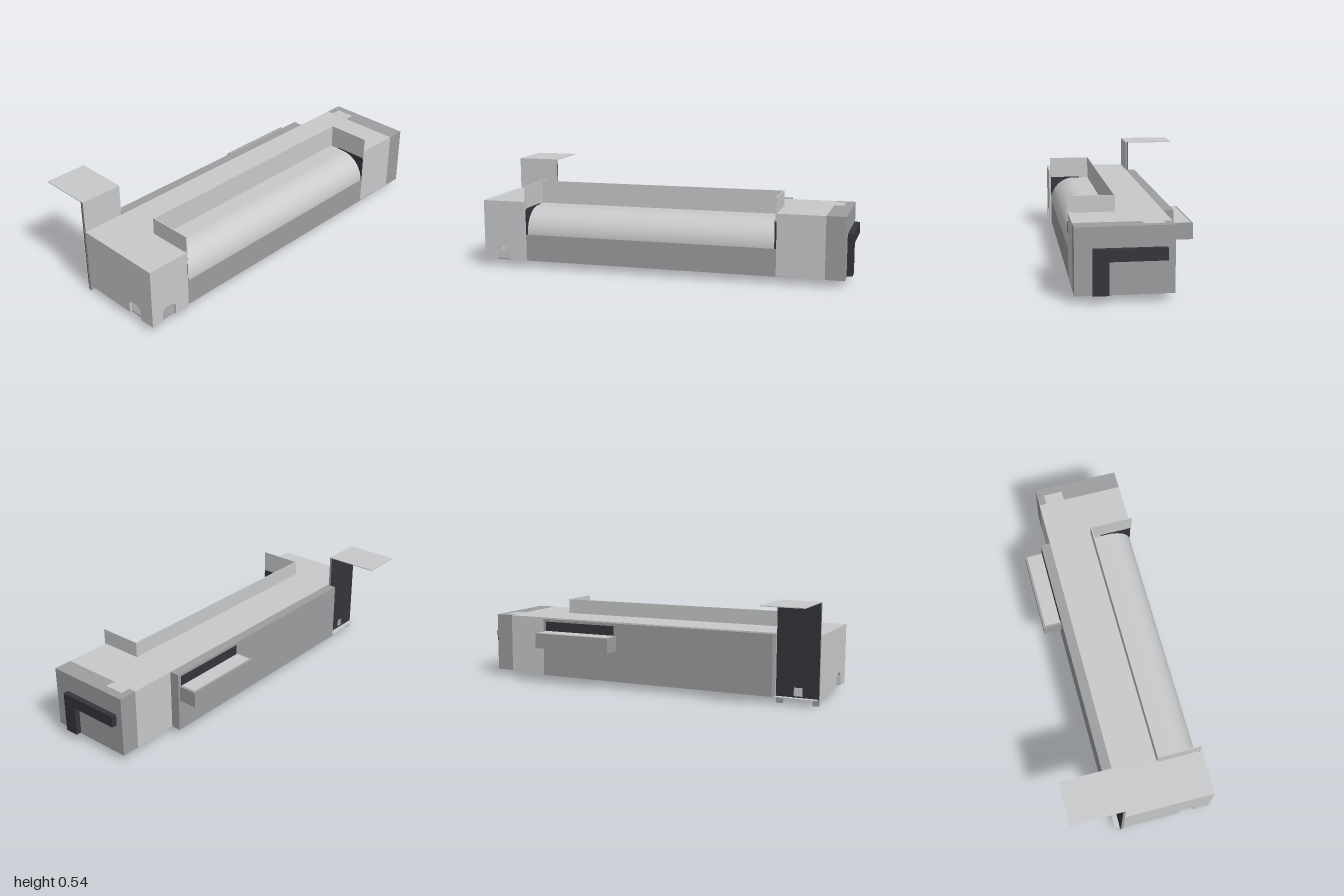
import * as THREE from 'three';

const mat = (name, color, extra = {}) => new THREE.MeshStandardMaterial({ name, color, ...extra });

export function createModel() {
  const light = mat('light grey', 0xc8c9ca);
  const mid = mat('mid grey', 0x9d9e9f);
  const dark = mat('charcoal', 0x34343b);
  const model = new THREE.Group();
  model.name = 'wallHousing';

  const add = (name, geo, material) => {
    const mesh = new THREE.Mesh(geo, material);
    mesh.name = name;
    model.add(mesh);
    return mesh;
  };
  // Box given by its limits on each axis
  const box = (name, material, [x0, x1], [y0, y1], [z0, z1]) => {
    const mesh = add(name, new THREE.BoxGeometry(x1 - x0, y1 - y0, z1 - z0), material);
    mesh.position.set((x0 + x1) / 2, (y0 + y1) / 2, (z0 + z1) / 2);
    return mesh;
  };
  const polygon = (points) => new THREE.Shape(points.map(([x, y]) => new THREE.Vector2(x, y)));
  const extrude = (shape, depth) =>
    new THREE.ExtrudeGeometry(shape, { depth, bevelEnabled: false, curveSegments: 20 });
  // Upright panel with a chamfered cable notch in its lower edge
  const notchedPanel = (x0, x1, y0, y1, n0, n1, top, c) => polygon([
    [x0, y0], [n0, y0], [n0, top - c], [n0 + c, top], [n1 - c, top],
    [n1, top - c], [n1, y0], [x1, y0], [x1, y1], [x0, y1],
  ]);

  const B = 0.035, T = 0.362;
  const bay = [-0.62, 0.757];

  // Main shell, open underneath
  box('topPanel', light, [-0.1, 0.14], [T - 0.012, T], [-0.87, 0.765]);
  box('rearTopPanel', light, [0.14, 0.375], [T - 0.012, T], [-0.87, -0.62]);
  box('rearRightWall', light, [0.363, 0.375], [B, T - 0.012], [-0.87, -0.62]);
  box('rearLeftWall', light, [-0.1, -0.09], [B, T - 0.012], [-0.87, -0.62]);
  box('rearBayWall', light, [0.14, 0.363], [B, T - 0.012], [-0.632, -0.62]);
  box('bottomStrip', mid, [0.145, 0.375], [B, B + 0.006], [-0.87, -0.62]);
  box('rearBlock', mid, [-0.1, 0.375], [B, T], [-0.97, -0.87]);
  box('rearTopPatch', light, [-0.06, 0.045], [T, T + 0.001], [-0.925, -0.87]);

  // Feed bay: lower panel, curved roller cover and dark ends
  box('lowerRightPanel', mid, [0.145, 0.375], [B, 0.18], bay);
  const cover = new THREE.Shape();
  cover.moveTo(0.145, 0.18);
  cover.lineTo(0.375, 0.18);
  cover.absarc(0.235, 0.18, 0.14, 0, Math.PI / 2, false);
  cover.lineTo(0.145, 0.32);
  const coverGeo = extrude(cover, bay[1] - bay[0] - 0.02);
  coverGeo.translate(0, 0, bay[0] + 0.01);
  add('rollerCover', coverGeo, light);
  for (const z of [bay[0], bay[1] - 0.01]) {
    box('bayEndPlate', dark, [0.2, 0.375], [0.18, 0.325], [z, z + 0.01]);
  }

  // Raised guard around three sides of the bay
  box('guardBack', light, [0.14, 0.146], [0.315, 0.445], bay);
  for (const z of [bay[0], bay[1] - 0.006]) {
    box('guardEnd', light, [0.146, 0.38], [0.32, 0.445], [z, z + 0.006]);
  }

  // Left side housing with dark lining
  box('leftPanel', mid, [-0.153, -0.143], [B, T], bay);
  box('leftTop', mid, [-0.143, -0.1], [T - 0.01, T], bay);
  box('leftRearEnd', mid, [-0.143, -0.09], [B, T - 0.01], [-0.62, -0.61]);
  box('leftFrontEnd', mid, [-0.143, -0.1], [B, T - 0.01], [0.747, 0.757]);
  box('leftLining', dark, [-0.143, -0.138], [B + 0.01, T - 0.012], [-0.6, 0.745]);
  for (const z of [-0.52, -0.18]) {
    box('liningClip', light, [-0.138, -0.13], [0.24, 0.28], [z - 0.02, z + 0.02]);
  }

  // Side tray with inset top and the slot above it
  box('sideTray', mid, [-0.255, -0.153], [0.208, 0.292], [-0.61, -0.15]);
  box('trayInset', light, [-0.243, -0.155], [0.292, 0.294], [-0.598, -0.162]);
  box('traySlot', dark, [-0.156, -0.153], [0.294, 0.347], [-0.6, -0.165]);

  // Front cap with cable notches in front and right walls
  const front = extrude(notchedPanel(-0.1, 0.387, B, T, 0.215, 0.297, 0.11, 0.018), 0.012);
  front.translate(0, 0, 0.985);
  add('capFront', front, light);
  const right = extrude(notchedPanel(-0.985, -0.76, B, T, -0.93, -0.845, 0.11, 0.018), 0.012);
  right.rotateY(Math.PI / 2).translate(0.375, 0, 0);
  add('capRight', right, light);
  box('capTop', light, [-0.1, 0.375], [T - 0.012, T], [0.765, 0.985]);
  box('capBack', light, [-0.1, 0.375], [B, T - 0.012], [0.757, 0.769]);
  box('capBottom', mid, [-0.1, 0.375], [B, B + 0.006], [0.769, 0.985]);
  box('notchBacking', dark, [0.225, 0.36], [B + 0.006, 0.2], [0.769, 0.775]);

  // Upright hinge plate on the cap's left, pierced by a cable hole
  const plate = polygon([[-0.997, B], [-0.768, B], [-0.768, 0.535], [-0.997, 0.535]]);
  plate.holes.push(new THREE.Path(
    [[-0.91, 0.042], [-0.91, 0.088], [-0.862, 0.088], [-0.862, 0.042]]
      .map(([x, y]) => new THREE.Vector2(x, y))));
  const outer = extrude(plate, 0.004);
  outer.rotateY(Math.PI / 2).translate(-0.117, 0, 0);
  add('hingePlateLining', outer, dark);
  const inner = extrude(plate, 0.013);
  inner.rotateY(Math.PI / 2).translate(-0.113, 0, 0);
  add('hingePlate', inner, [light, mid]);

  // Folded-out flap, small lower flange and feet
  box('topFlap', light, [-0.39, -0.1], [0.532, 0.536], [0.768, 0.997]);
  box('lowerFlange', light, [-0.145, -0.113], [0.033, 0.036], [0.77, 0.99]);
  for (const z of [0.77, 0.963]) {
    box('foot', mid, [-0.117, -0.1], [0, B], [z, z + 0.034]);
  }

  // Dark angled bracket on the back
  box('bracketBar', dark, [-0.062, 0.29], [0.2, 0.26], [-1, -0.97]);
  box('bracketLeg', dark, [0.215, 0.29], [0.04, 0.2], [-1, -0.97]);
  box('bracketFoot', dark, [0.215, 0.29], [B - 0.002, B], [-0.968, -0.88]);

  return model;
}
